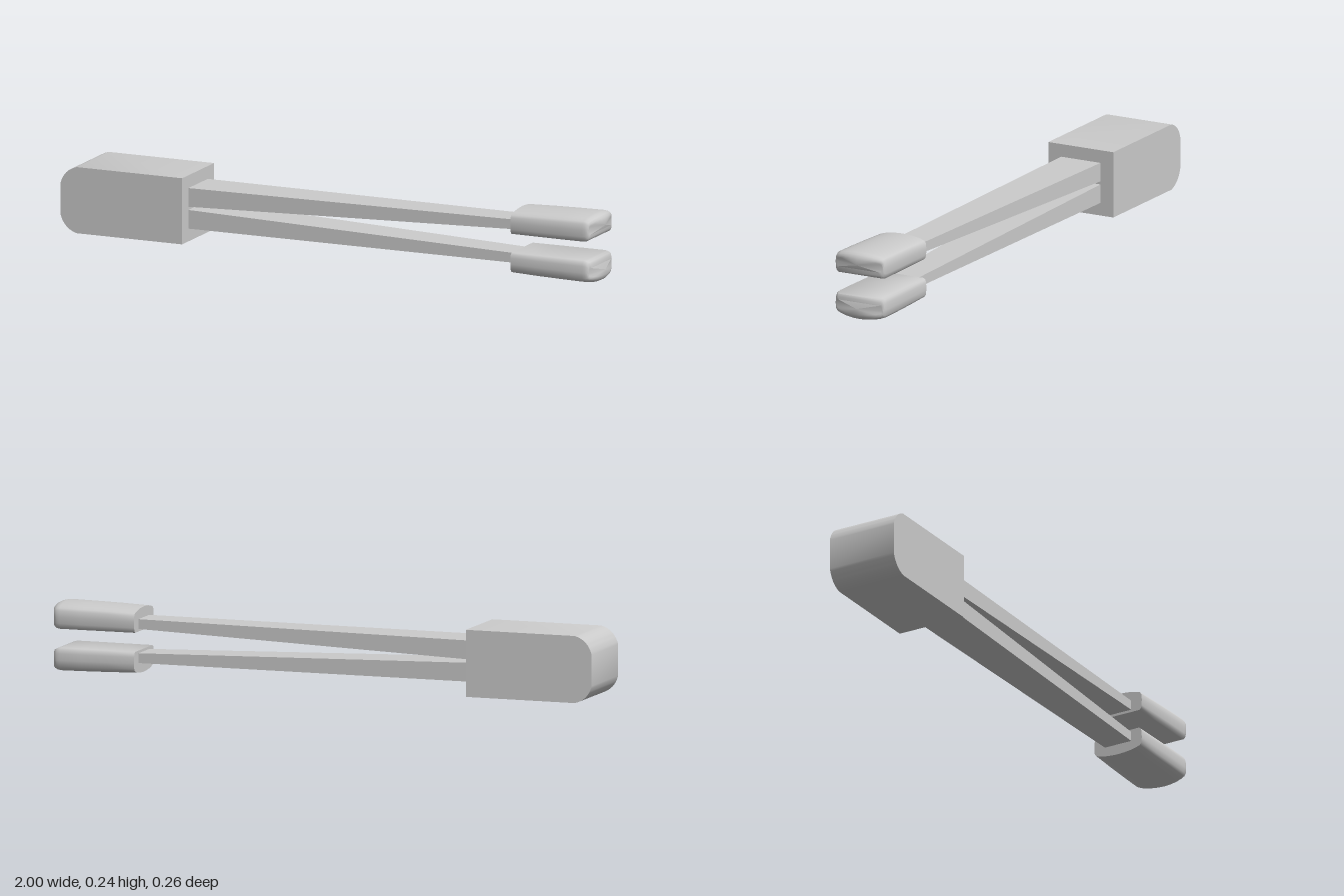
import * as THREE from 'three';
import { toCreasedNormals } from 'three/addons/utils/BufferGeometryUtils.js';

const MID = 0.12; // height of the plane between the two prongs
const material = new THREE.MeshStandardMaterial({ color: 0xcccccc });

function mesh(name, geometry) {
  const m = new THREE.Mesh(geometry, material);
  m.name = name;
  return m;
}

// Block joining the prongs, its far end rounded
function baseBlock() {
  const h = 0.116, r = 0.062, x0 = -1, x1 = -0.54, depth = 0.256;
  const s = new THREE.Shape();
  s.moveTo(x1, -h);
  s.lineTo(x1, h);
  s.lineTo(x0 + r, h);
  s.quadraticCurveTo(x0 + 0.014, h - 0.012, x0, h - r);
  s.lineTo(x0, -h + r);
  s.quadraticCurveTo(x0 + 0.014, -h + 0.012, x0 + r, -h);
  const g = new THREE.ExtrudeGeometry(s, { depth, bevelEnabled: false, curveSegments: 10 });
  g.translate(0, MID, -depth / 2);
  return mesh('baseBlock', toCreasedNormals(g, 0.5));
}

// Straight bar tapering in width and thickness; y is measured from MID
function armGeometry() {
  const g = new THREE.BoxGeometry(1, 1, 1);
  const p = g.attributes.position;
  const lerp = THREE.MathUtils.lerp;
  for (let i = 0; i < p.count; i++) {
    const t = p.getX(i) + 0.5;
    const y = p.getY(i) > 0 ? lerp(0.071, 0.076, t) : lerp(0.005, 0.043, t);
    p.setXYZ(i, lerp(-0.56, 0.72, t), y, Math.sign(p.getZ(i)) * lerp(0.078, 0.052, t));
  }
  const flat = g.toNonIndexed();
  flat.computeVertexNormals();
  return flat;
}

// Gripping pad: flat inner face, domed outer face, rounded tip
function padGeometry() {
  // Half section as [z, y] from the inner face to the crown
  const half = [[0.088, 0.033], [0.095, 0.039], [0.098, 0.052], [0.099, 0.075], [0.097, 0.096],
    [0.091, 0.105], [0.075, 0.111], [0.052, 0.116], [0.026, 0.119]];
  const loop = [
    ...half.map(([z, y]) => [-z, y]),
    [0, 0.12],
    ...half.slice().reverse(),
  ];
  // Stations as [x, width scale, outer height scale, inner lift, tip bow]
  const stations = [[0.685, 0.96, 0.92, 0, 0], [0.78, 0.98, 0.96, 0, 0], [0.88, 1, 0.985, 0, 0],
    [0.965, 1, 1, 0, 0.008], [0.979, 0.99, 0.98, 0.002, 0.012], [0.99, 0.97, 0.92, 0.007, 0.015],
    [0.997, 0.94, 0.83, 0.016, 0.018], [0.9995, 0.9, 0.72, 0.026, 0.02]];
  const n = loop.length, pos = [], idx = [];
  const y0 = 0.033, height = 0.087;
  for (const [x, w, k, lift, bow] of stations) {
    for (const [z, y] of loop) {
      pos.push(x - bow * (z / 0.099) ** 2, y0 + lift + (y - y0) * (k - lift / height), z * w);
    }
  }
  for (let i = 0; i < stations.length - 1; i++) {
    for (let j = 0; j < n; j++) {
      const a = i * n + j, b = i * n + (j + 1) % n;
      idx.push(a, b, b + n, a, b + n, a + n);
    }
  }
  // End caps
  const last = (stations.length - 1) * n, c = pos.length / 3;
  pos.push(0.685, 0.07, 0, 1.0, 0.078, 0);
  for (let j = 0; j < n; j++) {
    const k = (j + 1) % n;
    idx.push(c, k, j, c + 1, last + j, last + k);
  }
  const g = new THREE.BufferGeometry();
  g.setAttribute('position', new THREE.Float32BufferAttribute(pos, 3));
  g.setIndex(idx);
  return toCreasedNormals(g, 0.8);
}

export function createModel() {
  const model = new THREE.Group();
  model.name = 'tongs';
  model.add(baseBlock());

  // The lower prong is the upper one turned over about the long axis
  const arm = armGeometry(), pad = padGeometry();
  for (const [name, turn] of [['upperProng', 0], ['lowerProng', Math.PI]]) {
    const prong = new THREE.Group();
    prong.name = name;
    prong.add(mesh('arm', arm), mesh('pad', pad));
    prong.position.y = MID;
    prong.rotation.x = turn;
    model.add(prong);
  }
  return model;
}
